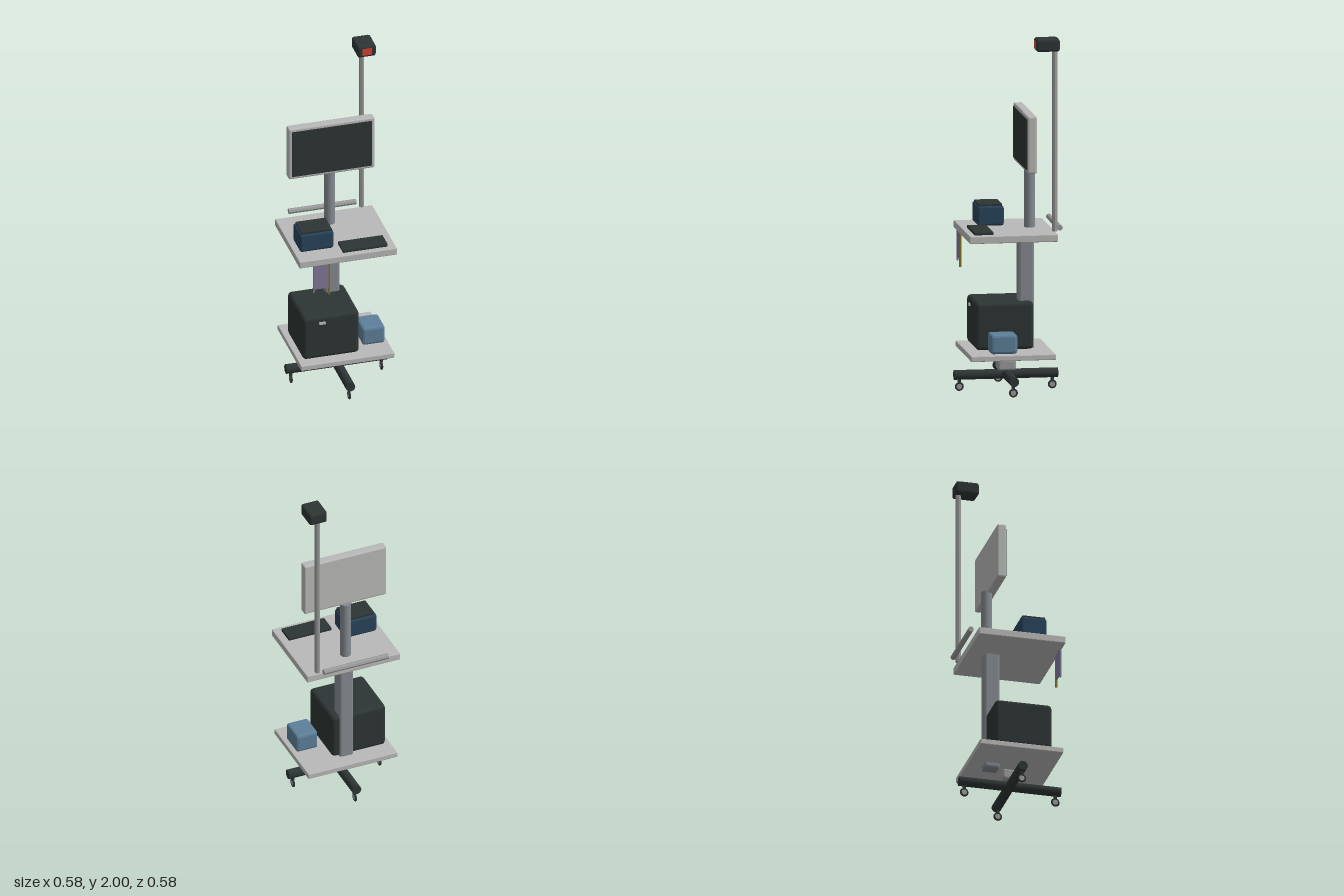
import * as THREE from 'three';
import { RoundedBoxGeometry } from 'three/addons/geometries/RoundedBoxGeometry.js';

const paint = (name, color, side = THREE.FrontSide) => {
  const m = new THREE.MeshStandardMaterial({ color, side });
  m.name = name;
  return m;
};

export function createModel() {
  const model = new THREE.Group();
  model.name = 'equipmentCart';

  const lightGrey = paint('lightGrey', 0xb9b9b8);
  const steel = paint('steel', 0x858b90);
  const poleGrey = paint('poleGrey', 0x9a9b9b);
  const charcoal = paint('charcoal', 0x2d3534);
  const navy = paint('navy', 0x28435a);
  const paleBlue = paint('paleBlue', 0x5d809a);
  const red = paint('red', 0xd8412f);
  const purple = paint('purple', 0x83789a);
  const olive = paint('olive', 0x857428);

  const add = (name, geometry, material, parent = model) => {
    const mesh = new THREE.Mesh(geometry, material);
    mesh.name = name;
    parent.add(mesh);
    return mesh;
  };

  // Box given by its limits; bevel > 0 chamfers the edges, steps > 1 rounds them
  const box = (name, material, [x0, x1], [y0, y1], [z0, z1], bevel = 0, steps = 1) => {
    const size = [x1 - x0, y1 - y0, z1 - z0];
    let geometry;
    if (bevel > 0) {
      geometry = new RoundedBoxGeometry(...size, steps, bevel);
      if (steps === 1) geometry.computeVertexNormals();
    } else {
      geometry = new THREE.BoxGeometry(...size);
    }
    const mesh = add(name, geometry, material);
    mesh.position.set((x0 + x1) / 2, (y0 + y1) / 2, (z0 + z1) / 2);
    return mesh;
  };

  // Rod of given radius along one axis; flat = faceted sides
  const rod = (name, material, axis, radius, length, position, sides = 24, flat = false) => {
    let geometry = new THREE.CylinderGeometry(radius, radius, length, sides);
    if (axis === 'x') geometry.rotateZ(Math.PI / 2);
    if (axis === 'z') geometry.rotateX(Math.PI / 2);
    if (flat) {
      geometry = geometry.toNonIndexed();
      geometry.computeVertexNormals();
    }
    const mesh = add(name, geometry, material);
    mesh.position.set(...position);
    return mesh;
  };

  // Crossed base legs
  for (const axis of ['x', 'z']) rod('baseLeg', charcoal, axis, 0.027, 0.58, [0, 0.09, 0]);

  // Casters under the four leg ends
  for (const [x, z] of [[0.26, 0], [-0.26, 0], [0, 0.26], [0, -0.26]]) {
    const caster = new THREE.Group();
    caster.name = 'caster';
    caster.position.set(x, 0.025, z);
    const tyre = add('tyre', new THREE.TorusGeometry(0.019, 0.006, 8, 24), charcoal, caster);
    tyre.rotation.y = Math.PI / 2;
    const hub = add('wheelHub', new THREE.CylinderGeometry(0.017, 0.017, 0.009, 20), poleGrey, caster);
    hub.rotation.z = Math.PI / 2;
    const stem = add('casterFork', new THREE.BoxGeometry(0.013, 0.02, 0.018), charcoal, caster);
    stem.position.y = 0.034;
    model.add(caster);
  }

  // Base hub and main column
  box('baseHub', poleGrey, [-0.05, 0.05], [0.115, 0.175], [-0.05, 0.05], 0.01);
  box('column', steel, [-0.041, 0.041], [0.178, 0.88], [-0.153, -0.065], 0.012);

  // Shelves
  box('lowerShelf', lightGrey, [-0.268, 0.268], [0.205, 0.236], [-0.237, 0.237], 0.004);
  box('upperShelf', lightGrey, [-0.28, 0.28], [0.868, 0.909], [-0.248, 0.246], 0.004);

  // Large cabinet with its front latch
  box('cabinet', charcoal, [-0.24, 0.083], [0.236, 0.502], [-0.143, 0.18], 0.022, 2);
  box('cabinetLatch', lightGrey, [-0.15, -0.113], [0.453, 0.468], [0.178, 0.187]);

  // Small pale box beside the cabinet
  box('smallBox', paleBlue, [0.118, 0.247], [0.24, 0.348], [-0.026, 0.122], 0.014);

  // Blue device with dark lid
  box('device', navy, [-0.248, -0.055], [0.909, 1.02], [0, 0.149], 0.014, 2);
  box('deviceLid', charcoal, [-0.237, -0.064], [1.012, 1.029], [0.01, 0.14]);

  // Keyboard
  box('keyboard', charcoal, [-0.021, 0.236], [0.908, 0.924], [0.107, 0.213], 0.002);

  // Monitor on its post
  rod('monitorPost', steel, 'y', 0.03, 0.35, [0, 1.08, -0.132]);
  box('monitor', lightGrey, [-0.247, 0.247], [1.246, 1.566], [-0.135, -0.083], 0.008);
  box('screen', charcoal, [-0.229, 0.229], [1.264, 1.548], [-0.085, -0.078]);

  // Camera on a tall pole, with a rear handle bar
  rod('rearHandle', poleGrey, 'x', 0.0155, 0.388, [-0.001, 0.931, -0.272], 8, true);
  rod('cameraPole', poleGrey, 'y', 0.0155, 1.03, [0.215, 1.433, -0.238], 8, true);
  box('camera', charcoal, [0.163, 0.269], [1.93, 2], [-0.26, -0.13], 0.012);
  box('cameraLens', red, [0.188, 0.242], [1.945, 1.985], [-0.134, -0.126]);

  // Hanging pouch with two straps
  box('hangingPouch', purple, [-0.197, -0.112], [0.718, 0.87], [0.234, 0.241]);
  box('leftStrap', purple, [-0.2, -0.192], [0.698, 0.87], [0.233, 0.242]);
  box('rightStrap', olive, [-0.113, -0.104], [0.676, 0.87], [0.231, 0.243]);

  return model;
}
